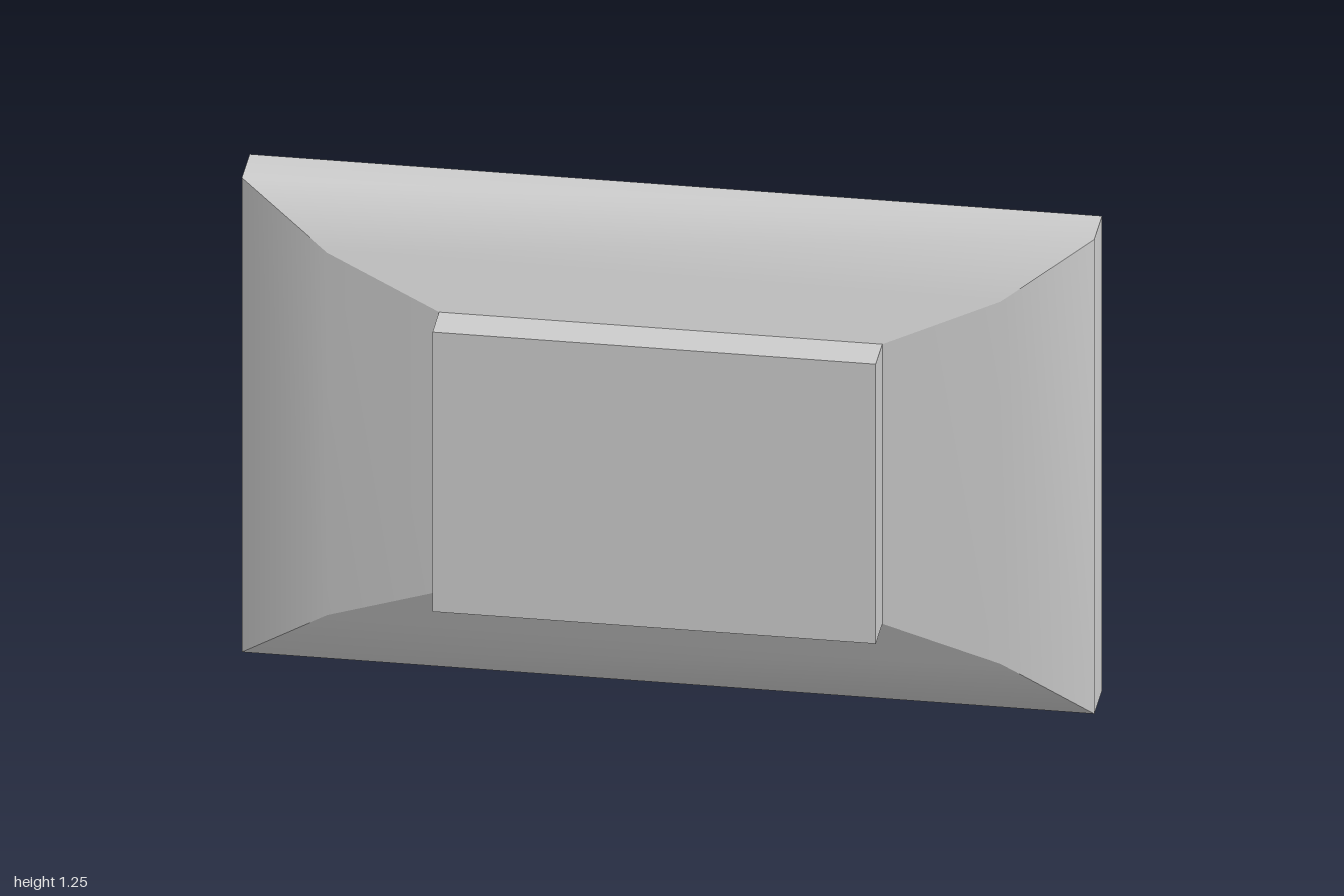
import * as THREE from 'three';
import { mergeGeometries } from 'three/addons/utils/BufferGeometryUtils.js';

const material = new THREE.MeshStandardMaterial({ color: 0xcccccc });

// Rectangular ring at depth z, counter-clockwise seen from the front
const ring = (x0, x1, y0, y1, z) => [[x0, y0, z], [x1, y0, z], [x1, y1, z], [x0, y1, z]];

// Skins successive rings as four separate sides: smooth along a side, creased at the corners
function skin(rings) {
  const sides = [];
  for (let s = 0; s < 4; s++) {
    const positions = [], index = [];
    rings.forEach((r, i) => {
      positions.push(...r[s], ...r[(s + 1) % 4]);
      if (i > 0) {
        const a = 2 * (i - 1);
        index.push(a, a + 1, a + 3, a, a + 3, a + 2);
      }
    });
    const g = new THREE.BufferGeometry();
    g.setAttribute('position', new THREE.Float32BufferAttribute(positions, 3));
    g.setIndex(index);
    g.computeVertexNormals();
    sides.push(g);
  }
  return mergeGeometries(sides);
}

export function createModel() {
  const group = new THREE.Group();
  const add = (name, geometry) => {
    const mesh = new THREE.Mesh(geometry, material);
    mesh.name = name;
    group.add(mesh);
    return mesh;
  };

  const recessFloor = ring(-0.93, 0.915, 0.06, 1.185, -0.11);
  const recessLip = ring(-0.93, 0.915, 0.06, 1.185, -0.165);
  const back = ring(-1, 1, 0, 1.245, -0.165);

  // Outer shell: straight rim, then two sloping bands towards the front
  add('housing', skin([
    back,
    ring(-1, 1, 0, 1.245, -0.047),
    ring(-0.79, 0.79, 0.147, 1.098, 0.016),
    ring(-0.52, 0.52, 0.256, 0.99, 0.065),
  ]));

  // Back frame and the walls of its recess
  add('backFrame', skin([recessLip, back]));
  add('recessWalls', skin([recessFloor, recessLip]));

  // Recessed panel facing backwards
  const panel = add('backPanel', new THREE.PlaneGeometry(1.845, 1.125));
  panel.rotation.y = Math.PI;
  panel.position.set(-0.0075, 0.6225, -0.11);

  // Raised block on the front
  const block = add('frontBlock', new THREE.BoxGeometry(1.04, 0.734, 0.1));
  block.position.set(0, 0.623, 0.115);

  return group;
}
